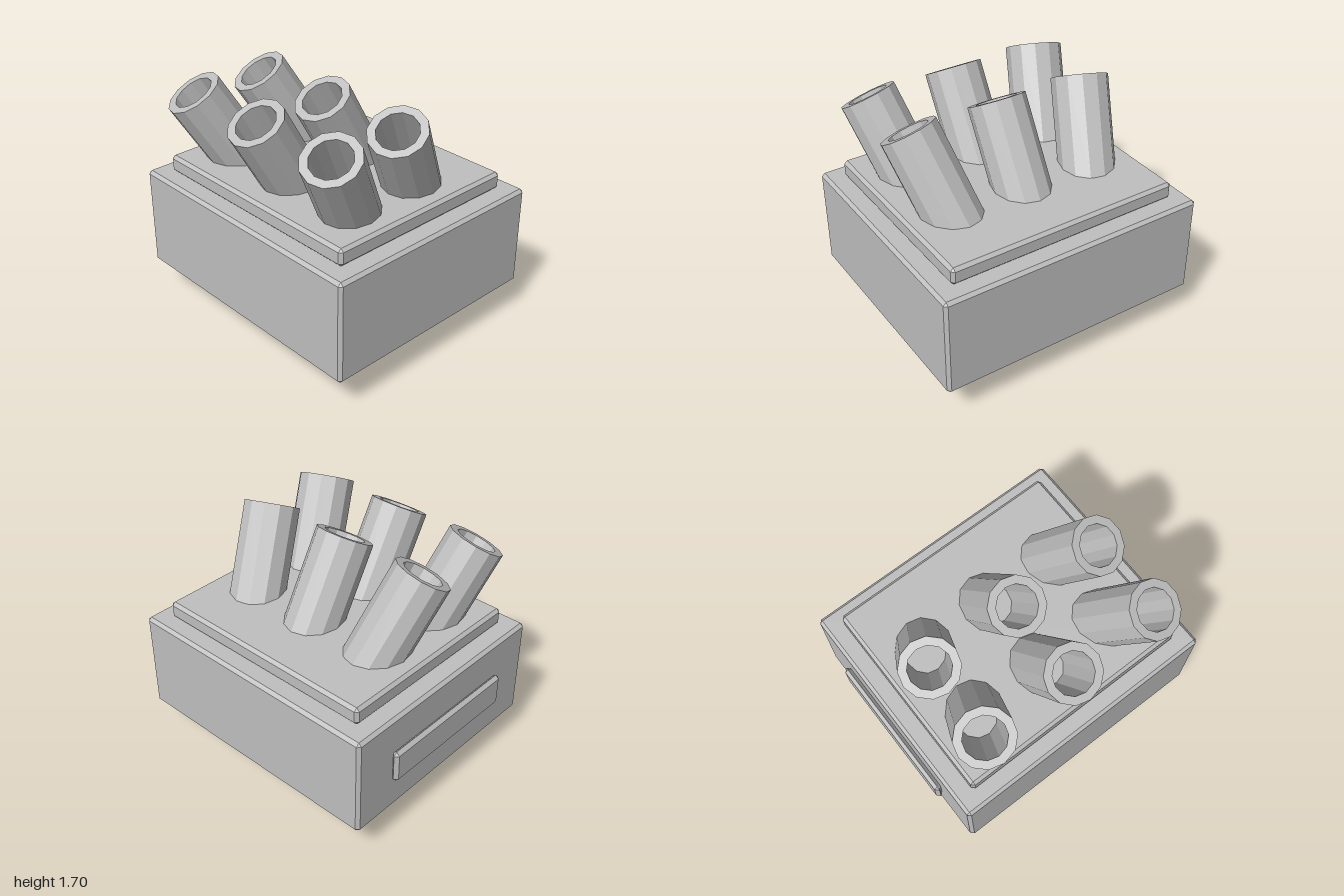
import * as THREE from 'three';
import { ConvexGeometry } from 'three/addons/geometries/ConvexGeometry.js';

const CX = 0.022; // centre line of the housing

export function createModel() {
  const model = new THREE.Group();
  model.name = 'tubeLauncher';
  const grey = new THREE.MeshStandardMaterial({ color: 0xbfbfbf, flatShading: true });
  grey.name = 'grey metal';

  function add(name, geometry, x, y, z) {
    const mesh = new THREE.Mesh(geometry, grey);
    mesh.name = name;
    mesh.position.set(x, y, z);
    model.add(mesh);
    return mesh;
  }

  // box with every edge chamfered by b
  function chamferBox(w, h, d, b) {
    const points = [];
    for (const x of [-1, 1]) for (const y of [-1, 1]) for (const z of [-1, 1]) {
      for (let axis = 0; axis < 3; axis++) {
        const inset = [b, b, b];
        inset[axis] = 0;
        points.push(new THREE.Vector3(
          x * (w / 2 - inset[0]), y * (h / 2 - inset[1]), z * (d / 2 - inset[2])));
      }
    }
    return new ConvexGeometry(points);
  }

  function disc(name, r, y0, y1, sides, x = CX, z = 0) {
    add(name, new THREE.CylinderGeometry(r, r, y1 - y0, sides), x, (y0 + y1) / 2, z);
  }

  // housing, top plate and side panel
  add('housing', chamferBox(1.95, 0.73, 1.7, 0.022), CX, 0.612, 0);
  add('topPlate', chamferBox(1.7, 0.124, 1.46, 0.022), CX, 1.038, 0);
  add('sidePanel', chamferBox(0.05, 0.24, 1.09, 0.024), -0.975, 0.61, -0.003);

  // round mount under the housing
  disc('mountNeck', 0.39, 0.23, 0.255, 20);
  disc('mountDisc', 0.487, 0.078, 0.235, 20);
  disc('mountFace', 0.417, 0.065, 0.08, 20);
  for (let i = 0; i < 6; i++) {
    const a = i * Math.PI / 3;
    disc('mountPin', 0.049, 0, 0.068, 8, CX + 0.29 * Math.cos(a), 0.29 * Math.sin(a));
  }

  // two rows of hollow tubes leaning forward, the outer ones splayed
  const up = new THREE.Vector3(0, 1, 0);
  for (const rowZ of [0.65, 0.097]) for (const side of [-1, 0, 1]) {
    const mouth = new THREE.Vector3(
      CX + side * 0.665, side ? 1.595 : 1.606, side ? rowZ - 0.014 : rowZ);
    const axis = new THREE.Vector3(side * 0.245, 1, side ? 0.555 : 0.577).normalize();
    const length = (mouth.y - 1.0) / axis.y;
    const profile = [[0.198, -length], [0.198, 0], [0.141, 0], [0.141, -length]];
    const tube = add('tube', new THREE.LatheGeometry(
      profile.map(([r, y]) => new THREE.Vector2(r, y)), 12), mouth.x, mouth.y, mouth.z);
    tube.quaternion.setFromUnitVectors(up, axis);
  }
  return model;
}
